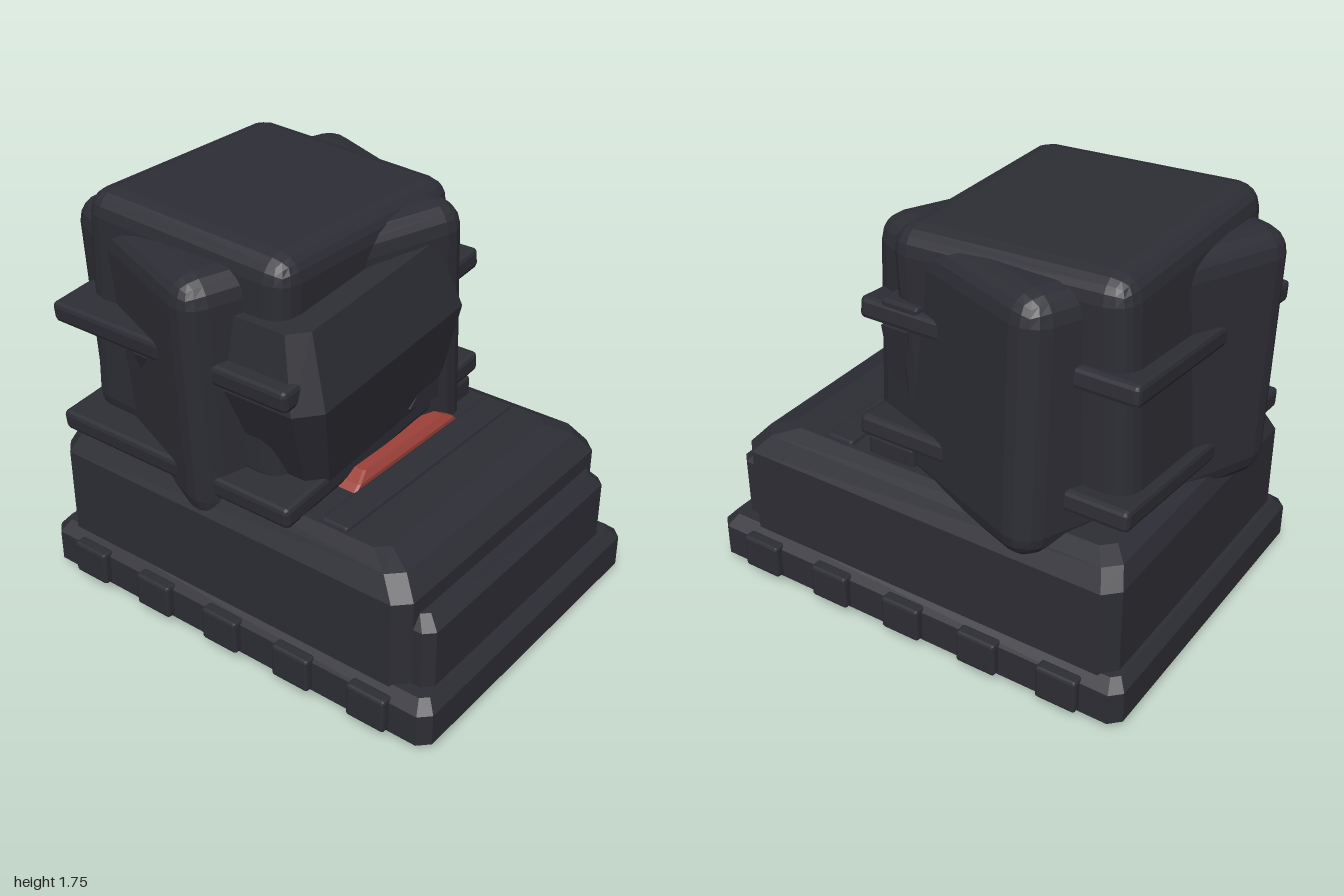
import * as THREE from 'three';
import { ConvexGeometry } from 'three/addons/geometries/ConvexGeometry.js';
import { RoundedBoxGeometry } from 'three/addons/geometries/RoundedBoxGeometry.js';

export function createModel() {
  const model = new THREE.Group();
  const charcoal = new THREE.MeshStandardMaterial({ color: 0x2d2d35, flatShading: true });
  charcoal.name = 'charcoal';
  const brickRed = new THREE.MeshStandardMaterial({ color: 0x9c423a, flatShading: true });
  brickRed.name = 'brick red';

  function add(name, geometry, material = charcoal) {
    const mesh = new THREE.Mesh(geometry, material);
    mesh.name = name;
    model.add(mesh);
    return mesh;
  }

  // Convex block from horizontal sections [y, x0, x1, z0, z1, cornerCut]
  function loft(sections) {
    const points = [];
    for (const [y, x0, x1, z0, z1, c] of sections) {
      for (const [x, sx] of [[x0, 1], [x1, -1]]) {
        for (const [z, sz] of [[z0, 1], [z1, -1]]) {
          points.push(new THREE.Vector3(x + sx * c, y, z), new THREE.Vector3(x, y, z + sz * c));
        }
      }
    }
    return new ConvexGeometry(points);
  }

  // Block with bevelled edges, given by its extents
  function block(name, x0, x1, y0, y1, z0, z1, bevel, segments = 1) {
    const mesh = add(name, new RoundedBoxGeometry(x1 - x0, y1 - y0, z1 - z0, segments, bevel));
    mesh.position.set((x0 + x1) / 2, (y0 + y1) / 2, (z0 + z1) / 2);
    return mesh;
  }

  // Plinth with five studs on each side
  add('plinth', loft([
    [0, -0.71, 0.71, -0.95, 0.96, 0.03],
    [0.04, -0.75, 0.75, -0.985, 1, 0.045],
    [0.18, -0.75, 0.75, -0.985, 1, 0.045],
    [0.225, -0.7, 0.7, -0.95, 0.96, 0.03],
  ]));
  for (const side of [-1, 1]) {
    for (let i = 0; i < 5; i++) {
      const z = 0.74 - i * 0.367;
      block('sideStud', side * 0.755 - 0.03, side * 0.755 + 0.03, 0.05, 0.2, z - 0.09, z + 0.09, 0.012);
    }
  }

  // Stepped housing on the plinth
  add('housing', loft([
    [0.2, -0.71, 0.71, -0.93, 0.86, 0.06],
    [0.6, -0.71, 0.71, -0.93, 0.86, 0.06],
    [0.68, -0.66, 0.66, -0.9, 0.79, 0.06],
    [0.715, -0.59, 0.59, -0.84, 0.68, 0.05],
  ]));
  add('frontStep', loft([
    [0.2, -0.65, 0.65, 0.5, 0.94, 0.04],
    [0.48, -0.65, 0.65, 0.5, 0.94, 0.04],
    [0.53, -0.61, 0.61, 0.5, 0.89, 0.03],
  ]));
  block('topStrip', -0.58, 0.58, 0.68, 0.73, 0.37, 0.5, 0.012);
  add('redLip', loft([
    [0.7, -0.37, 0.37, 0.25, 0.37, 0.01],
    [0.74, -0.33, 0.33, 0.25, 0.37, 0.01],
    [0.77, -0.27, 0.27, 0.25, 0.35, 0.01],
  ]), brickRed);

  // Upright core whose top forms the cap
  const core = block('capBlock', -0.56, 0.53, 0.72, 1.735, -0.85, 0.18, 0.1, 2);
  core.rotation.x = 0.045;

  // Turned and leaning block through the core
  const turned = block('turnedBlock', -0.635, 0.635, 0.59, 1.67, -0.835, 0.175, 0.11, 2);
  turned.rotation.set(0, -0.366, 0.05, 'ZYX');

  // Faceted face chunk and bands, all leaning the same way
  const lean = 0.1;
  const chunk = add('faceChunk', loft([
    [-0.5, -0.4, 0.4, -0.55, 0.28, 0.06],
    [0, -0.535, 0.535, -0.6, 0.38, 0.09],
    [0.3, -0.46, 0.46, -0.55, 0.3, 0.07],
  ]));
  chunk.position.set(-0.11, 1.22, 0);
  chunk.rotation.z = lean;
  for (const [y, x1] of [[1.305, 0.57], [0.8, 0.61]]) {
    const band = block('band', -0.69, x1, y - 0.045, y + 0.045, -0.91, 0.3, 0.02);
    band.rotation.z = lean;
  }

  // Small blocks and broken shards near the bands
  block('lowerLug', 0.43, 0.57, 0.7, 0.8, 0.07, 0.29, 0.015);
  block('upperLug', 0.45, 0.56, 1.38, 1.43, 0.03, 0.2, 0.012);
  const shard = (name, corners, z0, z1) => add(name, new ConvexGeometry(
    corners.flatMap(([x, y]) => [z0, z1].map((z) => new THREE.Vector3(x, y, z)))));
  shard('frontFin', [[0.08, 0.87], [0.2, 0.97], [0.33, 1.03], [0.34, 0.83]], 0.2, 0.315);
  shard('sideShard', [[-0.59, 1.43], [-0.5, 1.43], [-0.55, 1.32]], 0.05, 0.2);
  shard('rightShard', [[0.5, 1.3], [0.54, 1.3], [0.49, 1.04], [0.45, 1.04]], 0.1, 0.22);

  return model;
}
